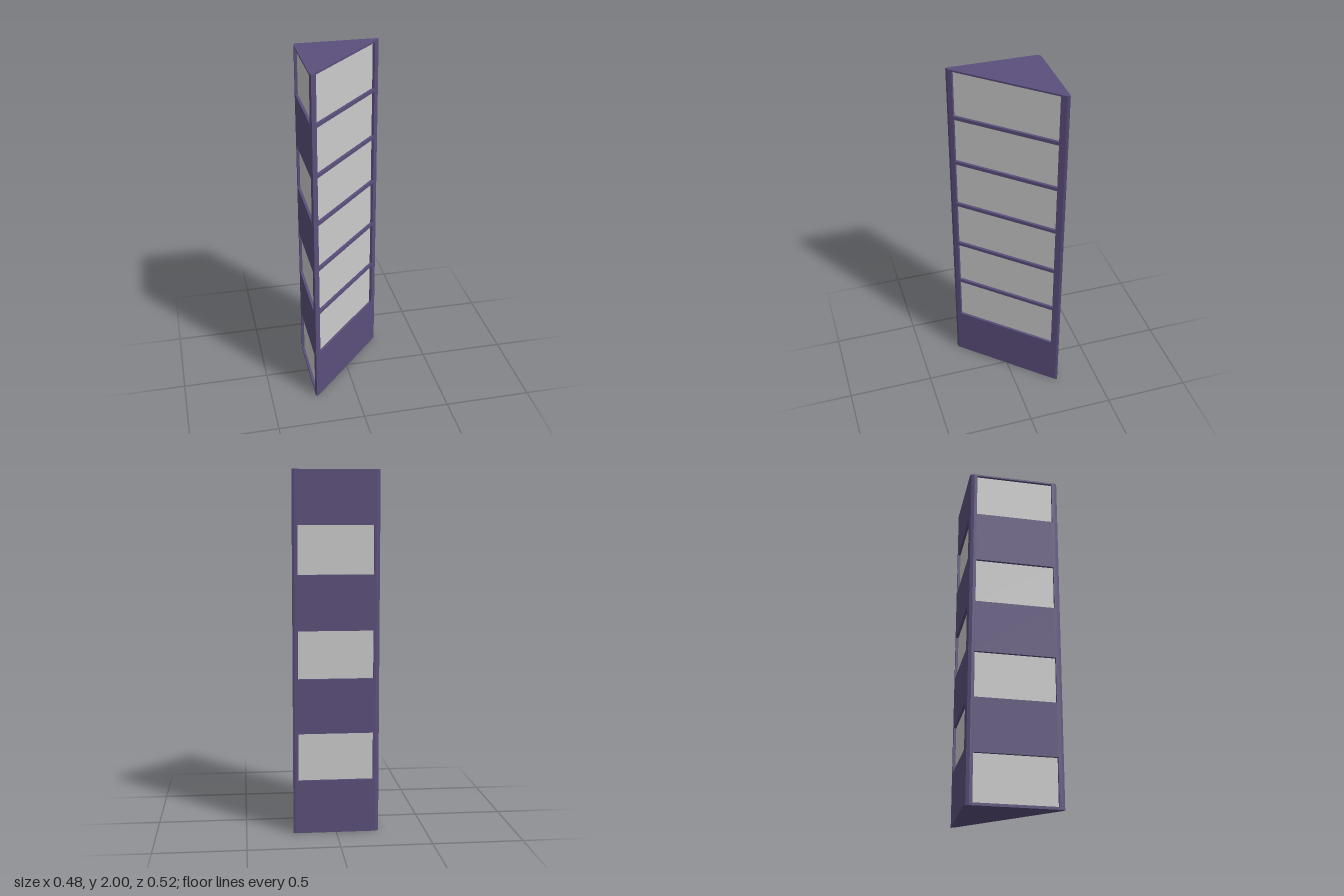
import * as THREE from 'three';

const HEIGHT = 2;
const DEPTH = 0.015; // how far the panels are set into the walls
const PITCH = 0.285, PANEL_H = 0.265, TOP_ROW = 1.99;

// Plan of the tower as [x, z], each wall running left to right seen from outside
const PLAN = [
  [-0.222, 0.255], [0.235, -0.245], // diagonal wall
  [0.24, -0.258],
  [0.228, -0.262], [-0.218, -0.262], // back wall
  [-0.234, -0.255],
  [-0.24, -0.237], [-0.24, 0.248], // right wall
  [-0.235, 0.261],
];

// Panel rows (0 = top) and the margins beside them, keyed by the wall's first plan point
const WALLS = {
  0: { name: 'diagonalWall', rows: [0, 1, 2, 3, 4, 5], margins: [0.025, 0.037] },
  3: { name: 'backWall', rows: [1, 3, 5], margins: [0.018, 0.013] },
  6: { name: 'rightWall', rows: [0, 2, 4, 6], margins: [0.017, 0.018] },
};

const bodyMaterial = new THREE.MeshStandardMaterial({ color: 0x5b4f7b });
const panelMaterial = new THREE.MeshStandardMaterial({ color: 0xcccccc });

function addMesh(parent, name, geometry, material) {
  const mesh = new THREE.Mesh(geometry, material);
  mesh.name = name;
  parent.add(mesh);
  return mesh;
}

function rectangle(PathType, x0, y0, x1, y1) {
  return new PathType([[x0, y0], [x1, y0], [x1, y1], [x0, y1]].map(p => new THREE.Vector2(...p)));
}

// Wall slab with openings and a panel at the bottom of each recess; local +z is outward
function addWall(group, length, { rows, margins }) {
  const slab = rectangle(THREE.Shape, 0, 0, length, HEIGHT);
  const left = margins[0], right = length - margins[1];
  for (const row of rows) {
    const top = TOP_ROW - row * PITCH;
    slab.holes.push(rectangle(THREE.Path, left, top - PANEL_H, right, top));
    const panel = addMesh(group, 'panel', new THREE.PlaneGeometry(right - left, PANEL_H), panelMaterial);
    panel.position.set((left + right) / 2, top - PANEL_H / 2, -DEPTH);
  }
  const geometry = new THREE.ExtrudeGeometry(slab, { depth: DEPTH, bevelEnabled: false });
  geometry.translate(0, 0, -DEPTH);
  addMesh(group, 'wallSlab', geometry, bodyMaterial);
}

export function createModel() {
  const model = new THREE.Group();
  model.name = 'triangularTower';

  // Walls, with narrow strips that soften the corners
  PLAN.forEach(([ax, az], i) => {
    const [bx, bz] = PLAN[(i + 1) % PLAN.length];
    const length = Math.hypot(bx - ax, bz - az);
    const side = new THREE.Group();
    side.position.set(ax, 0, az);
    side.rotation.y = Math.atan2(az - bz, bx - ax);
    side.name = WALLS[i] ? WALLS[i].name : 'corner';
    if (WALLS[i]) {
      addWall(side, length, WALLS[i]);
    } else {
      const strip = new THREE.PlaneGeometry(length, HEIGHT).translate(length / 2, HEIGHT / 2, 0);
      addMesh(side, 'cornerStrip', strip, bodyMaterial);
    }
    model.add(side);
  });

  // Roof and base
  const roof = new THREE.Shape(PLAN.map(([x, z]) => new THREE.Vector2(x, -z)));
  addMesh(model, 'roof', new THREE.ShapeGeometry(roof).rotateX(-Math.PI / 2).translate(0, HEIGHT, 0), bodyMaterial);
  const base = new THREE.Shape(PLAN.map(([x, z]) => new THREE.Vector2(x, z)));
  addMesh(model, 'base', new THREE.ShapeGeometry(base).rotateX(Math.PI / 2), bodyMaterial);

  return model;
}
